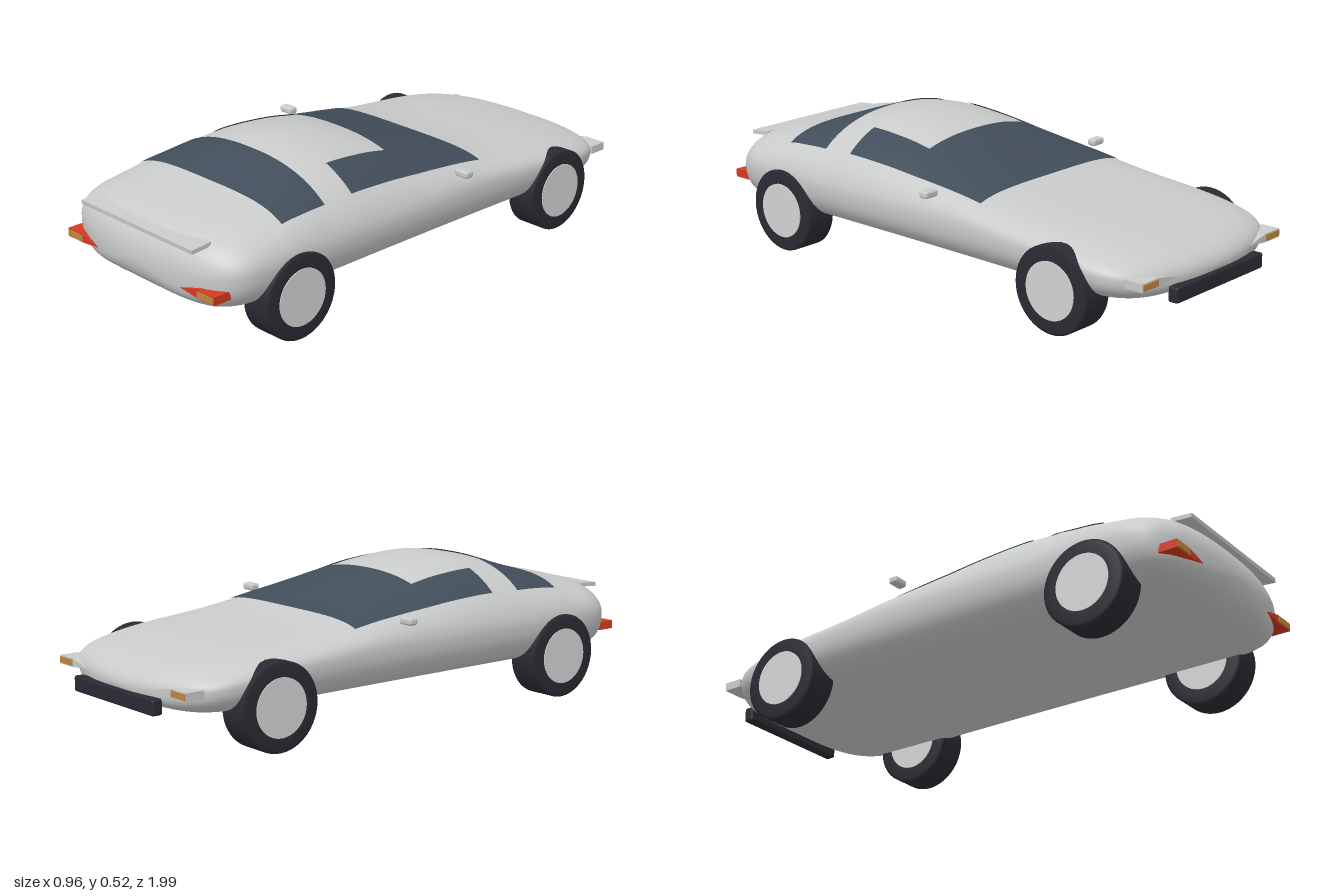
import * as THREE from 'three';
import { RoundedBoxGeometry } from 'three/addons/geometries/RoundedBoxGeometry.js';

const material = (name, color, side = THREE.FrontSide) => {
  const m = new THREE.MeshStandardMaterial({ color, side });
  m.name = name;
  return m;
};

// Body stations: z, height of widest line, rise of the crown above it, crown exponent, crown power
const STATIONS = [
  [-0.99, 0.208, 0.074, 2.3, 0.50],
  [-0.90, 0.225, 0.070, 3.0, 0.46],
  [-0.65, 0.250, 0.081, 4.0, 0.40],
  [-0.45, 0.262, 0.088, 4.2, 0.38],
  [-0.27, 0.270, 0.107, 4.2, 0.38],
  [-0.10, 0.275, 0.150, 3.0, 0.44],
  [0.05, 0.278, 0.192, 2.4, 0.50],
  [0.20, 0.280, 0.228, 2.15, 0.53],
  [0.35, 0.280, 0.241, 2.15, 0.54],
  [0.485, 0.280, 0.223, 2.4, 0.54],
  [0.58, 0.280, 0.190, 3.0, 0.50],
  [0.675, 0.280, 0.160, 3.8, 0.48],
  [0.80, 0.280, 0.136, 3.8, 0.47],
  [0.90, 0.276, 0.127, 3.3, 0.48],
  [1.00, 0.254, 0.137, 2.3, 0.50],
];
const MID_Z = 0.0045, HALF_LENGTH = 0.99, HALF_WIDTH = 0.436, FLOOR = 0.13;

// Monotone cubic interpolation of one station channel
function channel(k, z) {
  const S = STATIONS, last = S.length - 2;
  let i = 0;
  while (i < last && z > S[i + 1][0]) i++;
  const slope = (j) => (S[j + 1][k] - S[j][k]) / (S[j + 1][0] - S[j][0]);
  const tangent = (j) => {
    if (j === 0) return slope(0);
    if (j > last) return slope(last);
    const a = slope(j - 1), b = slope(j);
    return a * b <= 0 ? 0 : (2 * a * b) / (a + b);
  };
  const h = S[i + 1][0] - S[i][0], t = (z - S[i][0]) / h, t2 = t * t, t3 = t2 * t;
  return (2 * t3 - 3 * t2 + 1) * S[i][k] + (t3 - 2 * t2 + t) * h * tangent(i)
    + (3 * t2 - 2 * t3) * S[i + 1][k] + (t3 - t2) * h * tangent(i + 1);
}

// Fraction of the full section left as the body rounds off toward nose and tail
function closing(z) {
  const t = (z - MID_Z) / HALF_LENGTH;
  return Math.sqrt(1 - Math.pow(Math.abs(t), t > 0 ? 18 : 14));
}

// Height of the upper or lower skin at (x, z)
function skinY(x, z, upper = true) {
  const [mid, rise, n, p] = [1, 2, 3, 4].map((k) => channel(k, z));
  const c = closing(z), u = Math.min(1, Math.abs(x) / (HALF_WIDTH * c));
  return upper ? mid + rise * c * Math.pow(1 - Math.pow(u, n), p)
    : mid - (mid - FLOOR) * c * Math.pow(1 - Math.pow(u, 6), 0.45);
}

function surface(pos, index) {
  const g = new THREE.BufferGeometry();
  g.setAttribute('position', new THREE.Float32BufferAttribute(pos, 3));
  g.setIndex(index);
  g.computeVertexNormals();
  return g;
}

// Closed shell lofted from nose to tail, with rows crowded toward both ends
function bodyGeometry() {
  const N = 80, ROWS = 96, pos = [], index = [];
  const rowZ = (j) => MID_Z + HALF_LENGTH * 0.9999 * Math.sin((j / ROWS - 0.5) * Math.PI);
  for (let j = 0; j <= ROWS; j++) {
    const z = rowZ(j);
    for (let i = 0; i < N; i++) {
      const t = (i / N) * Math.PI * 2, x = HALF_WIDTH * closing(z) * Math.sin(t);
      pos.push(x, skinY(x, z, Math.cos(t) >= 0), z);
      if (j === ROWS) continue;
      const a = j * N + i, b = j * N + ((i + 1) % N);
      index.push(a, a + N, b, b, a + N, b + N);
    }
  }
  const nose = pos.length / 3, tail = nose + 1, end = ROWS * N;
  for (const z of [rowZ(0), rowZ(ROWS)]) pos.push(0, channel(1, z), z);
  for (let i = 0; i < N; i++) {
    const k = (i + 1) % N;
    index.push(nose, i, k, tail, end + k, end + i);
  }
  return surface(pos, index);
}

// Glass patch lying just above the upper skin
function glassGeometry(x0, x1, z0, z1) {
  const nx = Math.ceil((x1 - x0) / 0.012), nz = Math.ceil((z1 - z0) / 0.012);
  const pos = [], index = [];
  for (let j = 0; j <= nz; j++) {
    for (let i = 0; i <= nx; i++) {
      const x = x0 + ((x1 - x0) * i) / nx, z = z0 + ((z1 - z0) * j) / nz;
      pos.push(x, skinY(x, z) + 0.004, z);
      if (i === nx || j === nz) continue;
      const a = j * (nx + 1) + i, c = a + nx + 1;
      index.push(a, c, a + 1, a + 1, c, c + 1);
    }
  }
  return surface(pos, index);
}

// Wedge-shaped lamp tapering toward the centre line
function lampGeometry(side) {
  const pts = [[0.21, 0.217], [0.3, 0.208], [0.382, 0.208], [0.382, 0.238], [0.3, 0.238], [0.25, 0.228]];
  const shape = new THREE.Shape(pts.map(([x, y]) => new THREE.Vector2(x * side, y)));
  return new THREE.ExtrudeGeometry(shape, { depth: 0.07, bevelEnabled: false });
}

export function createModel() {
  const car = new THREE.Group();
  car.name = 'car';
  const silver = material('silver paint', 0xc9cbca);
  const glass = material('dark glass', 0x414d5a, THREE.DoubleSide);
  const rubber = material('black rubber', 0x2a2a33);
  const hub = material('hub grey', 0xd2d4d4);
  const red = material('red lens', 0xd63a22);
  const amber = material('amber lens', 0xc08640);
  const add = (name, geometry, mat, x = 0, y = 0, z = 0) => {
    const mesh = new THREE.Mesh(geometry, mat);
    mesh.name = name;
    mesh.position.set(x, y, z);
    car.add(mesh);
    return mesh;
  };

  add('body', bodyGeometry(), silver);

  // Windows
  add('windscreen', glassGeometry(-0.37, 0.37, -0.27, 0.085), glass);
  add('rearWindow', glassGeometry(-0.37, 0.37, 0.485, 0.675), glass);
  add('leftSideWindow', glassGeometry(0.247, 0.37, 0.085, 0.362), glass);
  add('rightSideWindow', glassGeometry(-0.37, -0.247, 0.085, 0.362), glass);

  // Bumper and spoiler
  add('frontBumper', new RoundedBoxGeometry(0.48, 0.055, 0.04, 2, 0.008), rubber, 0, 0.167, -0.98);
  const spoiler = add('spoiler', new THREE.BoxGeometry(0.575, 0.015, 0.08), silver, 0, 0.367, 0.942);
  spoiler.rotation.x = 0.08;

  // Tyre profile: radius against width, with bevelled shoulders
  const tyre = new THREE.LatheGeometry(
    [[0.1, -0.06], [0.143, -0.06], [0.153, -0.053], [0.153, 0.053], [0.143, 0.06], [0.1, 0.06]]
      .map(([r, y]) => new THREE.Vector2(r, y)), 48);
  tyre.rotateZ(Math.PI / 2);
  const disc = new THREE.CylinderGeometry(0.101, 0.101, 0.126, 40).rotateZ(Math.PI / 2);
  const plate = new THREE.BoxGeometry(0.078, 0.022, 0.006);

  for (const side of [1, -1]) {
    const label = side > 0 ? 'left' : 'right';
    for (const [end, z] of [['Front', -0.638], ['Rear', 0.655]]) {
      add(`${label}${end}Tyre`, tyre, rubber, side * 0.383, 0.153, z);
      add(`${label}${end}Hub`, disc, hub, side * 0.383, 0.153, z);
    }
    add(`${label}Mirror`, new RoundedBoxGeometry(0.06, 0.026, 0.036, 3, 0.009), silver, side * 0.449, 0.375, -0.103);

    // Lamps with amber indicator plates
    add(`${label}TailLamp`, lampGeometry(side), red, 0, 0, 0.906);
    add(`${label}HeadLamp`, lampGeometry(side), silver, 0, 0, -0.967);
    add(`${label}RearIndicator`, plate, amber, side * 0.34, 0.223, 0.976);
    add(`${label}FrontIndicator`, plate, amber, side * 0.34, 0.223, -0.967);
  }
  return car;
}
